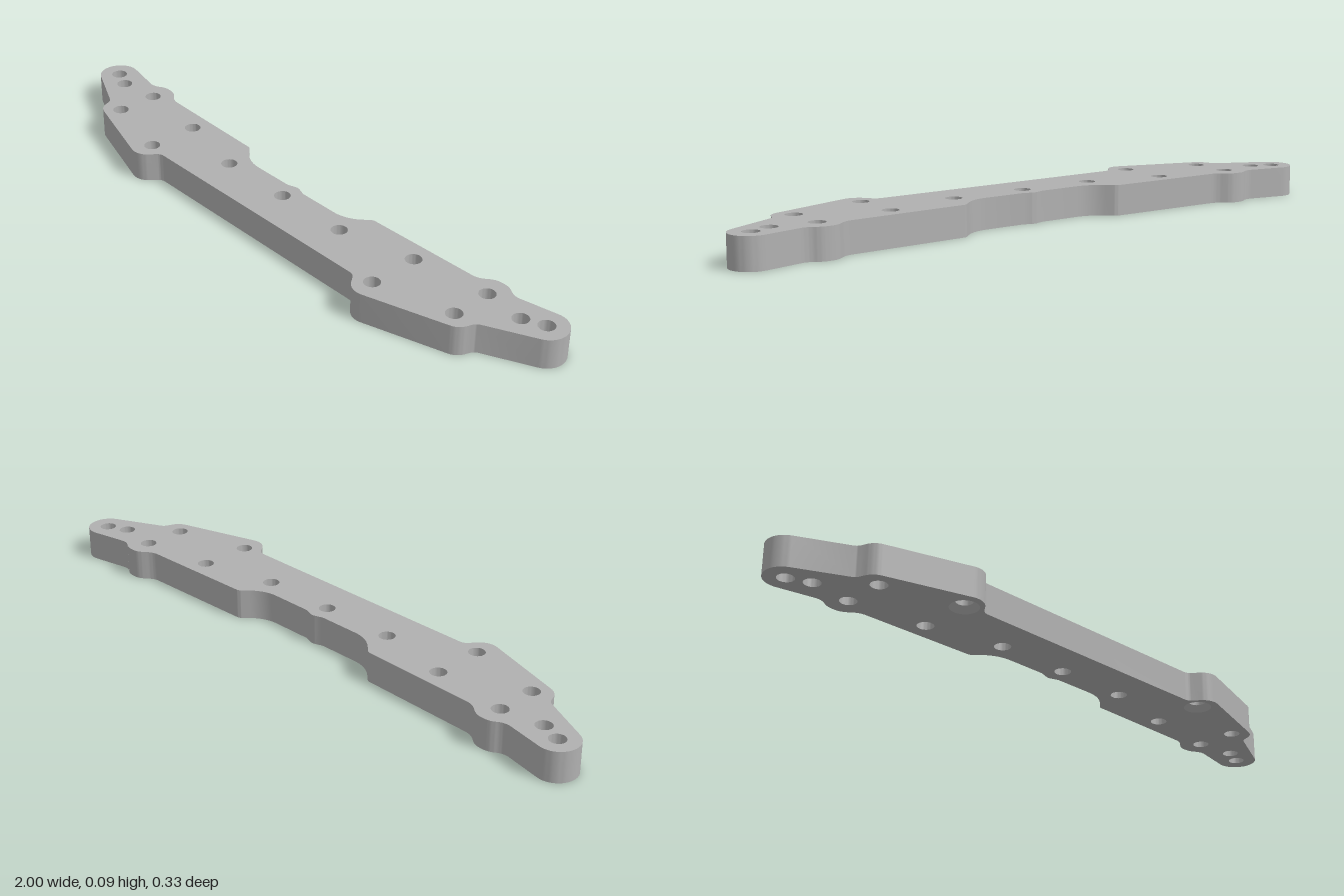
import * as THREE from 'three';
import { toCreasedNormals } from 'three/addons/utils/BufferGeometryUtils.js';

const T = 0.094;        // plate thickness
const HOLE = 0.025;     // bore radius
const SINK = 0.043;     // countersink radius on the underside
const SEGS = 32;

// Right half of the outline, from back middle to front: x, z, corner radius
const half = [
  [0.035, -0.061, 0.03], [0.215, -0.061, 0.12], [0.275, -0.118, 0.02],
  [0.67, -0.129, 0.06], [0.712, -0.163, 0.055], [0.76, -0.163, 0.055], [0.79, -0.139, 0.05],
  [0.977, -0.178, 0.062], [1.015, -0.074, 0.062],
  [0.807, 0.027, 0.03], [0.79, 0.077, 0.05],
  [0.475, 0.174, 0.055], [0.43, 0.113, 0.03],
];

// Replace each corner by a tangent arc
function roundedOutline(corners) {
  const pts = [];
  corners.forEach(([x, z, r], i) => {
    const n = corners.length;
    const p = new THREE.Vector2(x, -z);
    const [px, pz] = corners[(i + n - 1) % n];
    const [nx, nz] = corners[(i + 1) % n];
    const a = new THREE.Vector2(px, -pz).sub(p).normalize();
    const b = new THREE.Vector2(nx, -nz).sub(p).normalize();
    const halfAngle = Math.acos(THREE.MathUtils.clamp(a.dot(b), -1, 1)) / 2;
    const c = a.clone().add(b).normalize().multiplyScalar(r / Math.sin(halfAngle)).add(p);
    const d = r / Math.tan(halfAngle);
    const start = a.multiplyScalar(d).add(p).sub(c);
    const end = b.multiplyScalar(d).add(p).sub(c);
    const sweep = Math.atan2(start.cross(end), start.dot(end));
    const steps = 10;
    for (let k = 0; k <= steps; k++) {
      pts.push(start.clone().rotateAround(new THREE.Vector2(), sweep * k / steps).add(c));
    }
  });
  return pts;
}

function circlePath(x, z, r) {
  const pts = [];
  for (let k = 0; k < SEGS; k++) {
    const t = k / SEGS * Math.PI * 2;
    pts.push(new THREE.Vector2(x + r * Math.cos(t), -z + r * Math.sin(t)));
  }
  return new THREE.Path(pts);
}

export function createModel() {
  const group = new THREE.Group();
  group.name = 'mountingPlate';
  const metal = new THREE.MeshStandardMaterial({ color: 0xb0b0b0 });
  metal.name = 'plainGrey';

  // Plate outline, mirrored about x = 0
  const mirrored = half.map(([x, z, r]) => [-x, z, r]).reverse();
  const shape = new THREE.Shape(roundedOutline([[0, -0.073, 0.03], ...half, ...mirrored]));

  // Bolt holes
  shape.holes.push(circlePath(0, -0.009, HOLE));
  const holes = [
    [0.245, -0.009], [0.49, -0.063], [0.737, -0.095],
    [0.737, 0.037], [0.87, -0.078], [0.936, -0.106],
  ];
  const sunk = [0.49, 0.1];
  for (const s of [1, -1]) {
    for (const [x, z] of holes) shape.holes.push(circlePath(s * x, z, HOLE));
    shape.holes.push(circlePath(s * sunk[0], sunk[1], SINK));
  }

  const plateGeo = new THREE.ExtrudeGeometry(shape, { depth: T, bevelEnabled: false });
  plateGeo.rotateX(-Math.PI / 2);
  const plate = new THREE.Mesh(toCreasedNormals(plateGeo, 0.5), metal);
  plate.name = 'plate';
  group.add(plate);

  // Countersunk bores, open wide on the underside
  const profile = [[SINK, T], [HOLE, T], [HOLE, 0.018], [SINK, 0]]
    .map(([r, y]) => new THREE.Vector2(r, y));
  const boreGeo = toCreasedNormals(new THREE.LatheGeometry(profile, SEGS), 0.5);
  for (const s of [1, -1]) {
    const bore = new THREE.Mesh(boreGeo, metal);
    bore.name = s > 0 ? 'leftCountersunkBore' : 'rightCountersunkBore';
    bore.position.set(s * sunk[0], 0, sunk[1]);
    group.add(bore);
  }
  return group;
}
